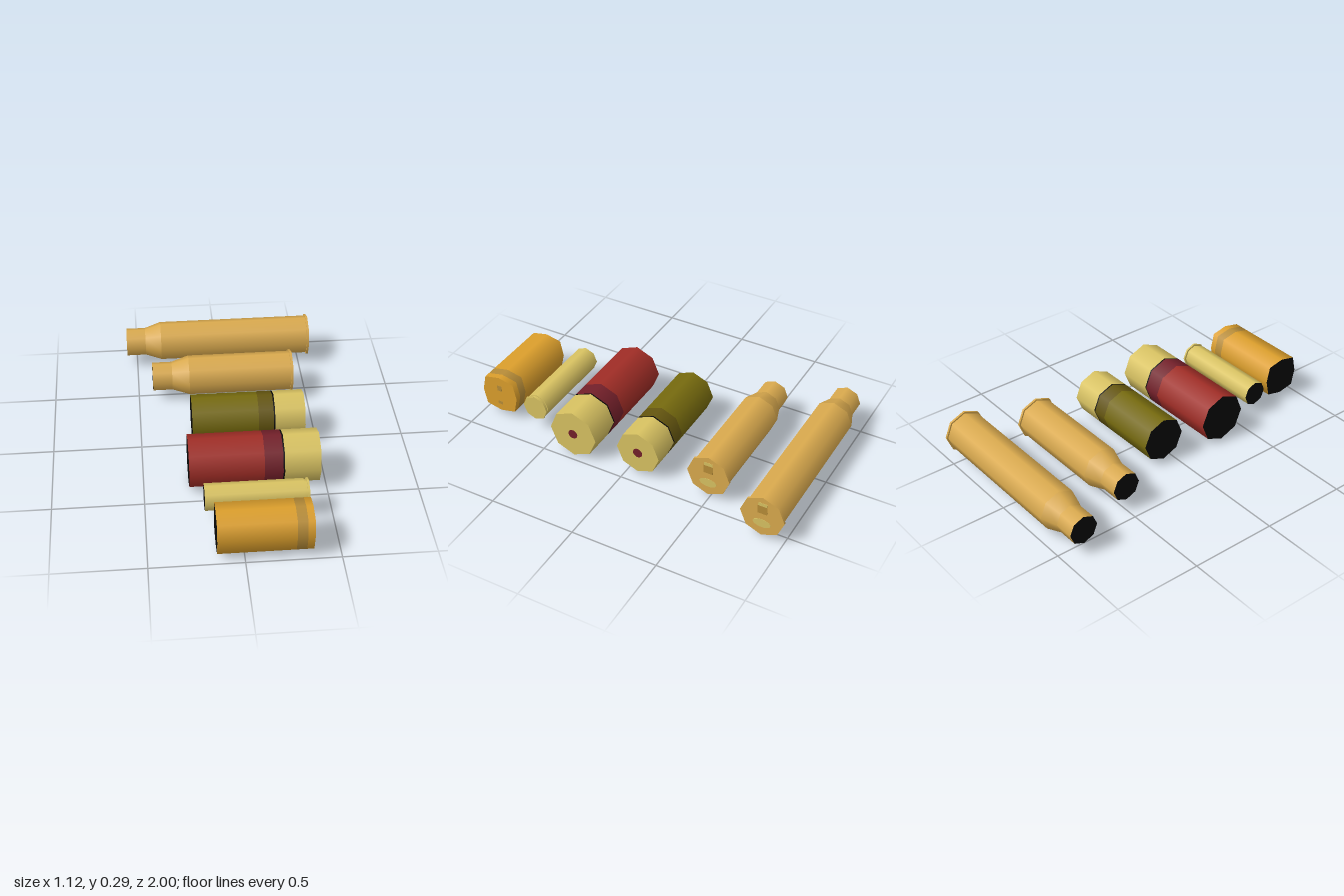
import * as THREE from 'three';

const mat = (name, color, side = THREE.FrontSide) => {
  const m = new THREE.MeshStandardMaterial({ color, side });
  m.name = name;
  return m;
};

const SIDES = 8;
const AXIS_Y = 0.146;

export function createModel() {
  const M = {
    copper: mat('copper brass', 0xdaaa4e),
    brass: mat('yellow brass', 0xd9c362),
    orange: mat('orange brass', 0xdc9f2c),
    band: mat('dull orange band', 0xb88d38),
    red: mat('red plastic', 0xa02d26),
    darkRed: mat('dark red', 0x74202a),
    olive: mat('olive plastic', 0x766a0e),
    darkOlive: mat('dark olive', 0x65560f),
    black: mat('black opening', 0x080808),
  };

  const model = new THREE.Group();
  model.name = 'casings';

  // Pushes the diagonal corners of an octagon outwards for a squarer section
  const square = (geo, k) => {
    const p = geo.attributes.position;
    for (let i = 0; i < p.count; i++) {
      const y = p.getY(i), z = p.getZ(i);
      if (Math.min(Math.abs(y), Math.abs(z)) > 0.01) p.setXYZ(i, p.getX(i), y * k, z * k);
    }
    return geo;
  };

  const add = (group, name, geo, material) => {
    const mesh = new THREE.Mesh(geo, material);
    mesh.name = name;
    group.add(mesh);
    return mesh;
  };

  // One casing lying along x: sections are [name, x0, x1, r0, r1, material]
  const casing = (name, z, sections, endMaterial, corner = 1) => {
    const g = new THREE.Group();
    g.name = name;
    g.position.set(0, AXIS_Y, z);
    sections.forEach(([part, x0, x1, r0, r1, material], i) => {
      const wall = new THREE.CylinderGeometry(r1, r0, x1 - x0, SIDES, 1, true);
      wall.rotateZ(-Math.PI / 2).translate((x0 + x1) / 2, 0, 0);
      add(g, part, square(wall, corner), material);
      // Step between neighbouring radii
      const next = sections[i + 1];
      if (next && Math.abs(next[3] - r1) > 0.001) {
        const step = new THREE.RingGeometry(Math.min(r1, next[3]), Math.max(r1, next[3]), SIDES);
        step.rotateY(next[3] > r1 ? -Math.PI / 2 : Math.PI / 2).translate(x1, 0, 0);
        add(g, 'step', square(step, corner), material);
      }
    });
    const first = sections[0], last = sections[sections.length - 1];
    const mouth = new THREE.CircleGeometry(first[3], SIDES).rotateY(-Math.PI / 2).translate(first[1], 0, 0);
    add(g, 'mouth', square(mouth, corner), M.black);
    const base = new THREE.CircleGeometry(last[4], SIDES).rotateY(Math.PI / 2).translate(last[2], 0, 0);
    add(g, 'base', square(base, corner), endMaterial);
    model.add(g);
    return g;
  };

  // Thin mark on the base of a casing
  const plate = (g, name, x, y, z, h, w, material) =>
    add(g, name, new THREE.BoxGeometry(0.003, h, w), material).position.set(x, y, z);
  const disc = (g, name, x, y, ry, rz, material) => {
    const d = add(g, name, new THREE.CylinderGeometry(1, 1, 0.003, 10).rotateZ(Math.PI / 2), material);
    d.scale.set(1, ry, rz);
    d.position.set(x, y, 0);
  };

  // Bottlenecked casings
  for (const [name, z, x0, x1, x2, x3] of [
    ['longCasing', -0.875, -0.56, -0.445, -0.35, 0.56],
    ['mediumCasing', -0.49, -0.415, -0.3, -0.2, 0.415],
  ]) {
    const g = casing(name, z, [
      ['neck', x0, x1, 0.084, 0.084, M.copper],
      ['shoulder', x1, x2, 0.084, 0.117, M.copper],
      ['body', x2, x3 - 0.013, 0.117, 0.117, M.copper],
      ['rim', x3 - 0.013, x3, 0.126, 0.126, M.copper],
    ], M.copper);
    plate(g, 'baseMark', x3, 0.045, 0, 0.05, 0.055, M.band);
    plate(g, 'baseMarkTop', x3, 0.08, 0, 0.02, 0.05, M.brass);
    disc(g, 'baseMarkLow', x3, -0.045, 0.027, 0.052, M.brass);
  }

  // Plastic shells with a brass head and a primer
  for (const [name, z, r, x0, x1, x2, x3, hull, dark] of [
    ['greenShell', -0.068, 0.13, -0.21, 0.165, 0.25, 0.43, M.olive, M.darkOlive],
    ['redShell', 0.325, 0.145, -0.253, 0.155, 0.256, 0.462, M.red, M.darkRed],
  ]) {
    const g = casing(name, z, [
      ['hull', x0, x1, r, r, hull],
      ['hullBand', x1, x2, r, r, dark],
      ['seam', x2, x2 + 0.008, r, r, M.black],
      ['head', x2 + 0.008, x3, r, r, M.brass],
    ], M.brass);
    disc(g, 'primer', x3, 0, 0.029, 0.029, M.darkRed);
  }

  // Slim casing with an extractor groove
  casing('slimCasing', 0.638, [
    ['body', -0.186, 0.343, 0.073, 0.073, M.brass],
    ['groove', 0.343, 0.356, 0.067, 0.067, M.brass],
    ['rim', 0.356, 0.367, 0.077, 0.077, M.brass],
  ], M.brass);

  // Wide squared casing
  const wide = casing('wideCasing', 0.886, [
    ['body', -0.145, 0.264, 0.114, 0.114, M.orange],
    ['band', 0.264, 0.318, 0.114, 0.114, M.band],
    ['head', 0.318, 0.355, 0.114, 0.114, M.orange],
  ], M.orange, 1.16);
  plate(wide, 'baseMarkTop', 0.355, 0.04, 0, 0.035, 0.03, M.band);
  plate(wide, 'baseMarkLow', 0.355, -0.06, 0, 0.02, 0.03, M.band);

  return model;
}
